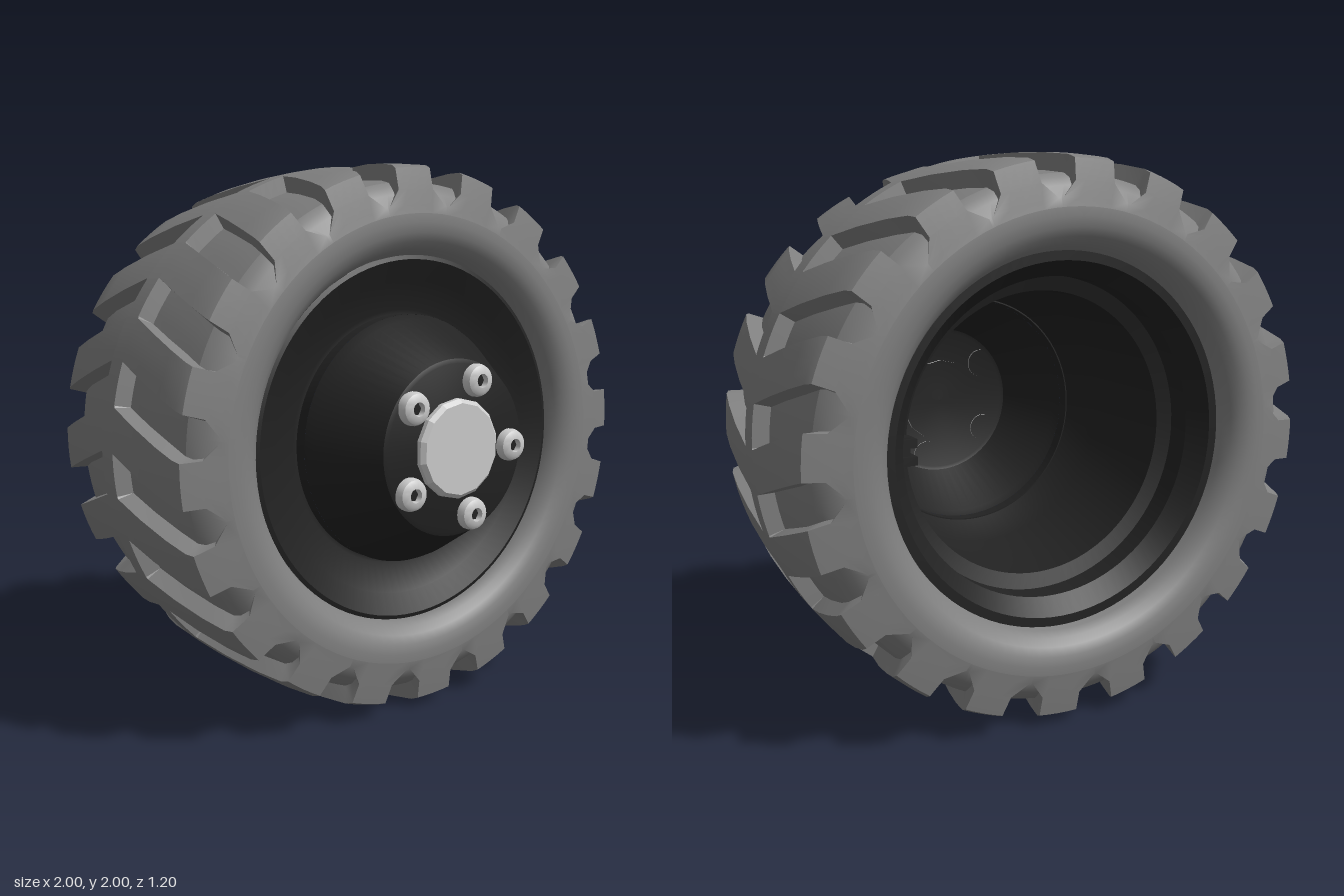
import * as THREE from 'three';
import { toCreasedNormals } from 'three/addons/utils/BufferGeometryUtils.js';

const PITCHES = 20;
const TYRE_Z = -0.095;
const deg = Math.PI / 180;

const rubber = new THREE.MeshStandardMaterial({ color: 0x808080, side: THREE.DoubleSide });
const darkRim = new THREE.MeshStandardMaterial({ color: 0x222222, side: THREE.DoubleSide });
const metal = new THREE.MeshStandardMaterial({ color: 0xcccccc });

function addMesh(parent, name, geometry, material) {
  const mesh = new THREE.Mesh(geometry, material);
  mesh.name = name;
  parent.add(mesh);
  return mesh;
}

// Revolve [radius, z] points about the wheel axis
function revolve(points, segments = 96, crease = 0.5) {
  const g = new THREE.LatheGeometry(points.map(([r, z]) => new THREE.Vector2(r, z)), segments);
  g.rotateX(Math.PI / 2);
  return toCreasedNormals(g, crease);
}

// Chevron tread: each station holds lug z, lug radius, floor z, floor radius, groove half width
function treadGeometry() {
  const half = [
    [0.045, 1.0, 0.045, 1.0, 0.25],
    [0.05, 1.0, 0.05, 0.942, 0.25],
    [0.2, 0.996, 0.2, 0.938, 0.25],
    [0.35, 0.986, 0.35, 0.928, 0.25],
    [0.45, 0.974, 0.43, 0.916, 0.25],
    [0.478, 0.962, 0.452, 0.9, 0.25],
    [0.492, 0.89, 0.474, 0.875, 0.23],
    [0.5, 0.835, 0.5, 0.835, 0.03],
    [0.505, 0.805, 0.505, 0.805, 0.03],
  ];
  const mirrored = half.map(([a, b, c, d, e]) => [-a, b, -c, d, e]).reverse();
  const stations = [...mirrored, ...half];
  const steps = 4;
  const columns = PITCHES * 2 * (steps + 1);
  const positions = [];
  const indices = [];
  for (let i = 0; i < columns; i++) {
    const pitch = Math.floor(i / (2 * (steps + 1)));
    const k = i % (2 * (steps + 1));
    const isLug = k > steps;
    const f = (k % (steps + 1)) / steps;
    for (const [lz, lr, fz, fr, hw] of stations) {
      const t = isLug ? hw + f * (1 - 2 * hw) : (2 * f - 1) * hw * 0.92;
      const lead = 8.5 * (1 - Math.min(Math.abs(lz), 0.48) / 0.48);
      const angle = (5.5 + lead + (pitch + t) * 360 / PITCHES) * deg;
      const r = isLug ? lr : fr;
      positions.push(r * Math.sin(angle), r * Math.cos(angle), isLug ? lz : fz);
    }
  }
  const n = stations.length;
  for (let i = 0; i < columns; i++) {
    const next = (i + 1) % columns;
    for (let j = 0; j < n - 1; j++) {
      const a = i * n + j, c = next * n + j;
      indices.push(a, a + 1, c, c, a + 1, c + 1);
    }
  }
  const g = new THREE.BufferGeometry();
  g.setAttribute('position', new THREE.Float32BufferAttribute(positions, 3));
  g.setIndex(indices);
  return toCreasedNormals(g, 0.45);
}

export function createModel() {
  const model = new THREE.Group();
  model.name = 'wheel';
  const wheel = new THREE.Group();
  wheel.name = 'wheelAssembly';
  wheel.position.y = 1;
  model.add(wheel);

  // Tyre: tread plus two rounded sidewalls
  const tyre = new THREE.Group();
  tyre.name = 'tyre';
  tyre.position.z = TYRE_Z;
  wheel.add(tyre);
  addMesh(tyre, 'tread', treadGeometry(), rubber);
  const wall = [[0.806, 0.505], [0.775, 0.507], [0.74, 0.502], [0.71, 0.487], [0.685, 0.464], [0.668, 0.43], [0.66, 0.385]];
  addMesh(tyre, 'frontSidewall', revolve(wall), rubber);
  addMesh(tyre, 'backSidewall', revolve(wall.map(([r, z]) => [r, -z]).reverse()), rubber);

  // Rim barrel, open at the back and stepped inside
  addMesh(wheel, 'rimBarrel', revolve([
    [0.665, -0.5], [0.63, -0.5], [0.575, -0.43], [0.575, -0.34], [0.52, -0.32], [0.52, 0.12], [0.46, 0.25],
  ]), darkRim);
  // Front dish between the bead and the hub
  addMesh(wheel, 'rimDish', revolve([
    [0.665, 0.33], [0.65, 0.335], [0.575, 0.3], [0.47, 0.25], [0.455, 0.25], [0.455, 0.3],
  ]), darkRim);
  // Tapered hub with a flat mounting face
  addMesh(wheel, 'hub', revolve([
    [0.455, 0.3], [0.44, 0.335], [0.31, 0.555], [0.295, 0.56], [0, 0.56],
  ], 64), darkRim);

  // Centre cap
  addMesh(wheel, 'centreCap', revolve([
    [0.175, 0.55], [0.175, 0.578], [0.16, 0.592], [0, 0.592],
  ], 14, 0.3), metal);

  // Five domed bolts with hexagonal sockets
  const boltShape = revolve([
    [0.058, 0.555], [0.058, 0.575], [0.052, 0.59], [0.04, 0.598], [0.024, 0.6], [0.024, 0.575], [0, 0.575],
  ], 24);
  const socketShape = new THREE.CircleGeometry(0.023, 6);
  for (let i = 0; i < 5; i++) {
    const angle = (-2 + i * 72) * deg;
    const bolt = new THREE.Group();
    bolt.name = 'wheelBolt';
    bolt.position.set(0.247 * Math.cos(angle), 0.247 * Math.sin(angle), 0);
    wheel.add(bolt);
    addMesh(bolt, 'boltHead', boltShape, metal);
    addMesh(bolt, 'boltSocket', socketShape, darkRim).position.z = 0.58;
  }

  // Small valve on the inner wall of the barrel
  const valve = new THREE.Group();
  valve.name = 'valve';
  valve.position.set(0.55, 0, -0.36);
  wheel.add(valve);
  addMesh(valve, 'valveBase', new THREE.BoxGeometry(0.04, 0.1, 0.05), darkRim);
  for (const y of [-0.03, 0.03]) {
    addMesh(valve, 'valveTab', new THREE.BoxGeometry(0.06, 0.03, 0.08), darkRim).position.set(-0.01, y, 0);
  }
  return model;
}
